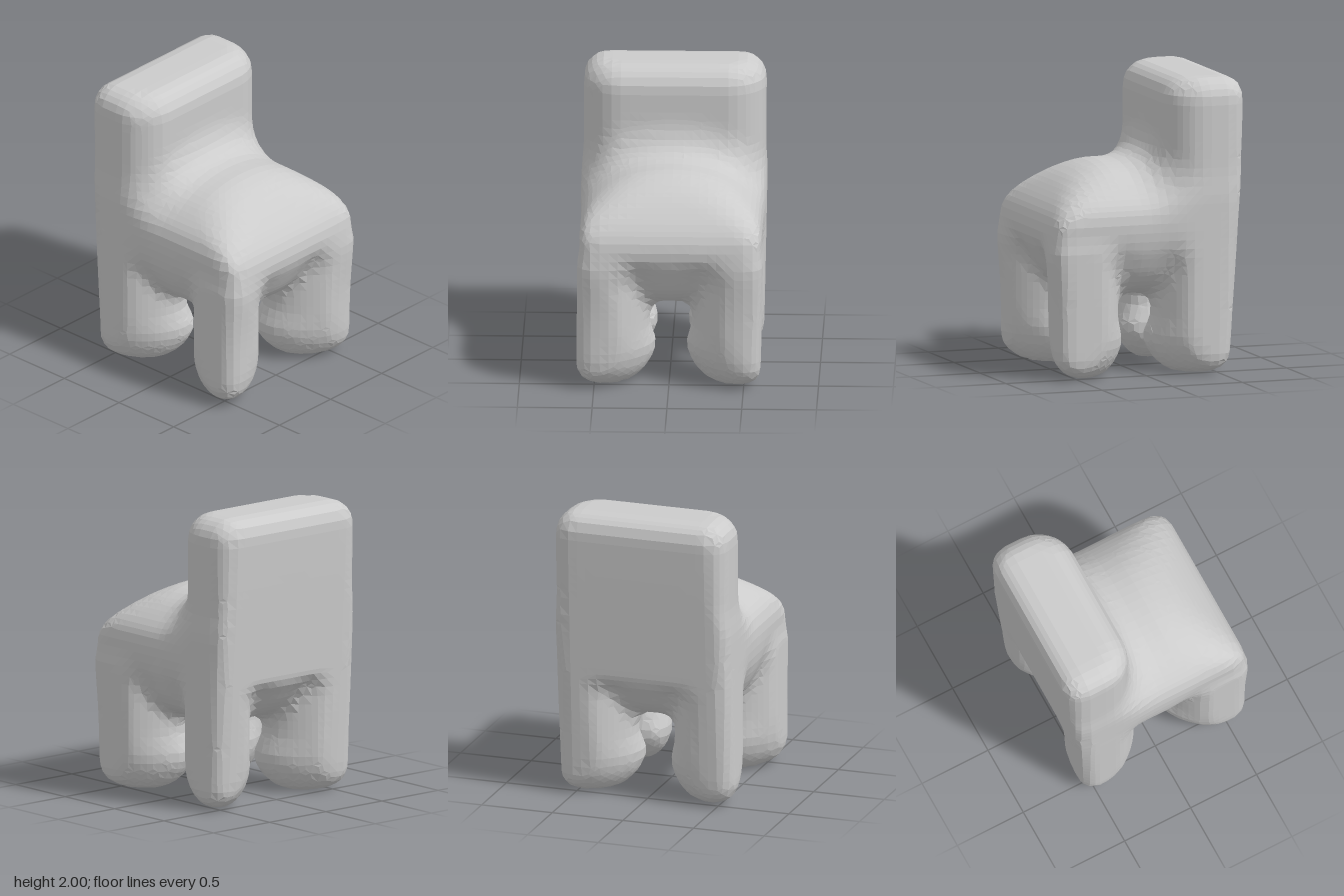
import * as THREE from 'three';

// Smooth union / intersection of distance fields
const smin = (a, b, k) => {
  const h = Math.max(k - Math.abs(a - b), 0) / k;
  return Math.min(a, b) - h * h * k / 4;
};
const smax = (a, b, k) => -smin(-a, -b, k);

// Distance to a corner of two faces, rounded by radius r
const rounded = (a, b, r) => Math.hypot(Math.max(a + r, 0), Math.max(b + r, 0)) +
  Math.min(Math.max(a, b) + r, 0) - r;

// Tall backrest: inner corners broadly rounded, outer ones tighter, rounded top
function backrest(x, y, z) {
  const plan = rounded(Math.abs(x + 0.43) - 0.275, Math.abs(z + 0.015) - 0.615, x > -0.43 ? 0.27 : 0.17);
  return rounded(plan, y - 2, 0.17);
}

// Domed seat top: level near the backrest, falling to the edge and both sides
function seatTop(x, y, z) {
  const t = Math.max(0, x - 0.2);
  const alongX = 1.46 - 0.4 * t - 0.9 * t * t;
  const alongZ = 1.46 - 0.87 * z * z;
  return (y - smin(alongX, alongZ, 0.2)) * 0.85;
}

// Underside hangs lowest in the middle and rises towards the rim
function underside(x, y, z) {
  const r2 = (x - 0.02) ** 2 + z * z;
  return (smin(0.52 + 2 * r2 * r2, 0.8, 0.1) - y) * 0.8;
}

// Leg: oval across, long axis on the diagonal, slimmer neck, rounded foot
function leg(x, y, z) {
  const neck = 0.045 * THREE.MathUtils.smoothstep(y, 0.2, 0.42);
  const px = Math.abs(x - 0.02) - 0.365 - neck, pz = Math.abs(z + 0.01) - 0.375 - neck;
  const u = (px + pz) / Math.SQRT2, v = (px - pz) / Math.SQRT2;
  const d = (Math.hypot(u / (u > 0 ? 0.39 : 0.33), v / 0.215, Math.min(y - 0.28, 0) / 0.295) - 1) * 0.25;
  return smax(d, y - 0.9, 0.1);
}

// Outer limits that trim the sides and corners
function envelope(x, y, z) {
  const right = x - 0.66 - 0.03 * Math.exp(-(((y - 0.9) / 0.3) ** 2));
  const left = -x - 0.58 - 0.06 * y;
  const front = z - 0.62 + 0.01 * y;
  const rear = -z - 0.61 - 0.02 * y;
  return smax(Math.max(left, right), Math.max(front, rear), 0.13);
}

function chairField(x, y, z) {
  const limit = envelope(x, y, z);
  let d = smin(smax(seatTop(x, y, z), limit, 0.1), backrest(x, y, z), 0.25);
  d = smax(d, underside(x, y, z), 0.2);
  d = smin(d, leg(x, y, z), 0.1);
  d = smax(d, limit, 0.04);
  return smax(d, -y, 0.02);
}

// Which part a point of the skin belongs to
function partName(x, y, z) {
  if (y < 0.5) return (z > 0 ? 'front' : 'rear') + (x > 0.02 ? 'Left' : 'Right') + 'Leg';
  return x < -0.1 && y > 1.3 ? 'backrest' : 'seat';
}

// Skin the field with quads on a regular grid, gathered by part
function skin(field, min, step, n) {
  const [nx, ny, nz] = n;
  const at = (i, j, k) => (i * ny + j) * nz + k;
  const pos = (i, j, k) => [min[0] + i * step, min[1] + j * step, min[2] + k * step];
  const value = new Float32Array(nx * ny * nz);
  const each = (m, fn) => {
    for (let i = 0; i < nx - m; i++)
      for (let j = 0; j < ny - m; j++)
        for (let k = 0; k < nz - m; k++) fn(i, j, k);
  };
  each(0, (i, j, k) => { value[at(i, j, k)] = field(...pos(i, j, k)); });

  // One vertex per crossed cell: mean of its edge crossings, then pulled to the surface
  const vertex = new Map();
  each(1, (i, j, k) => {
    const sum = [0, 0, 0];
    let count = 0;
    for (let c = 0; c < 8; c++) {
      for (let a = 0; a < 3; a++) {
        if (c & (1 << a)) continue;
        const o = [c & 1, (c >> 1) & 1, (c >> 2) & 1];
        const e = o.slice();
        e[a] = 1;
        const f0 = value[at(i + o[0], j + o[1], k + o[2])];
        const f1 = value[at(i + e[0], j + e[1], k + e[2])];
        if ((f0 < 0) === (f1 < 0)) continue;
        o[a] = f0 / (f0 - f1);
        o.forEach((t, b) => { sum[b] += t; });
        count++;
      }
    }
    if (!count) return;
    const p = pos(i + sum[0] / count, j + sum[1] / count, k + sum[2] / count);
    for (let it = 0; it < 2; it++) {
      const f = field(...p), h = 0.005;
      const g = [0, 1, 2].map((a) => {
        const q = p.slice();
        q[a] += h;
        const hi = field(...q);
        q[a] -= 2 * h;
        return (hi - field(...q)) / (2 * h);
      });
      const s = f / Math.max(g[0] ** 2 + g[1] ** 2 + g[2] ** 2, 0.2);
      g.forEach((ga, a) => { p[a] -= THREE.MathUtils.clamp(s * ga, -step / 3, step / 3); });
    }
    vertex.set(at(i, j, k), p);
  });

  // One quad per crossed grid edge
  const parts = {};
  const stride = [ny * nz, nz, 1];
  each(1, (i, j, k) => {
    const id = at(i, j, k);
    for (let a = 0; a < 3; a++) {
      const inside = value[id] < 0;
      if (inside === value[id + stride[a]] < 0) continue;
      const b = stride[(a + 1) % 3], c = stride[(a + 2) % 3];
      const q = [id - b - c, id - c, id, id - b].map((v) => vertex.get(v));
      if (!inside) q.reverse();
      const mid = [0, 1, 2].map((d) => (q[0][d] + q[1][d] + q[2][d] + q[3][d]) / 4);
      const list = (parts[partName(...mid)] ??= []);
      for (const t of [0, 1, 2, 0, 2, 3]) list.push(...q[t]);
    }
  });
  return parts;
}

export function createModel() {
  const chair = new THREE.Group();
  chair.name = 'chair';
  const material = new THREE.MeshStandardMaterial({ color: 0xcccccc, flatShading: true });
  const parts = skin(chairField, [-0.87, -0.13, -0.83], 0.06, [30, 38, 29]);
  for (const [name, points] of Object.entries(parts)) {
    const geometry = new THREE.BufferGeometry();
    geometry.setAttribute('position', new THREE.Float32BufferAttribute(points, 3));
    geometry.computeVertexNormals();
    const mesh = new THREE.Mesh(geometry, material);
    mesh.name = name;
    chair.add(mesh);
  }
  return chair;
}
